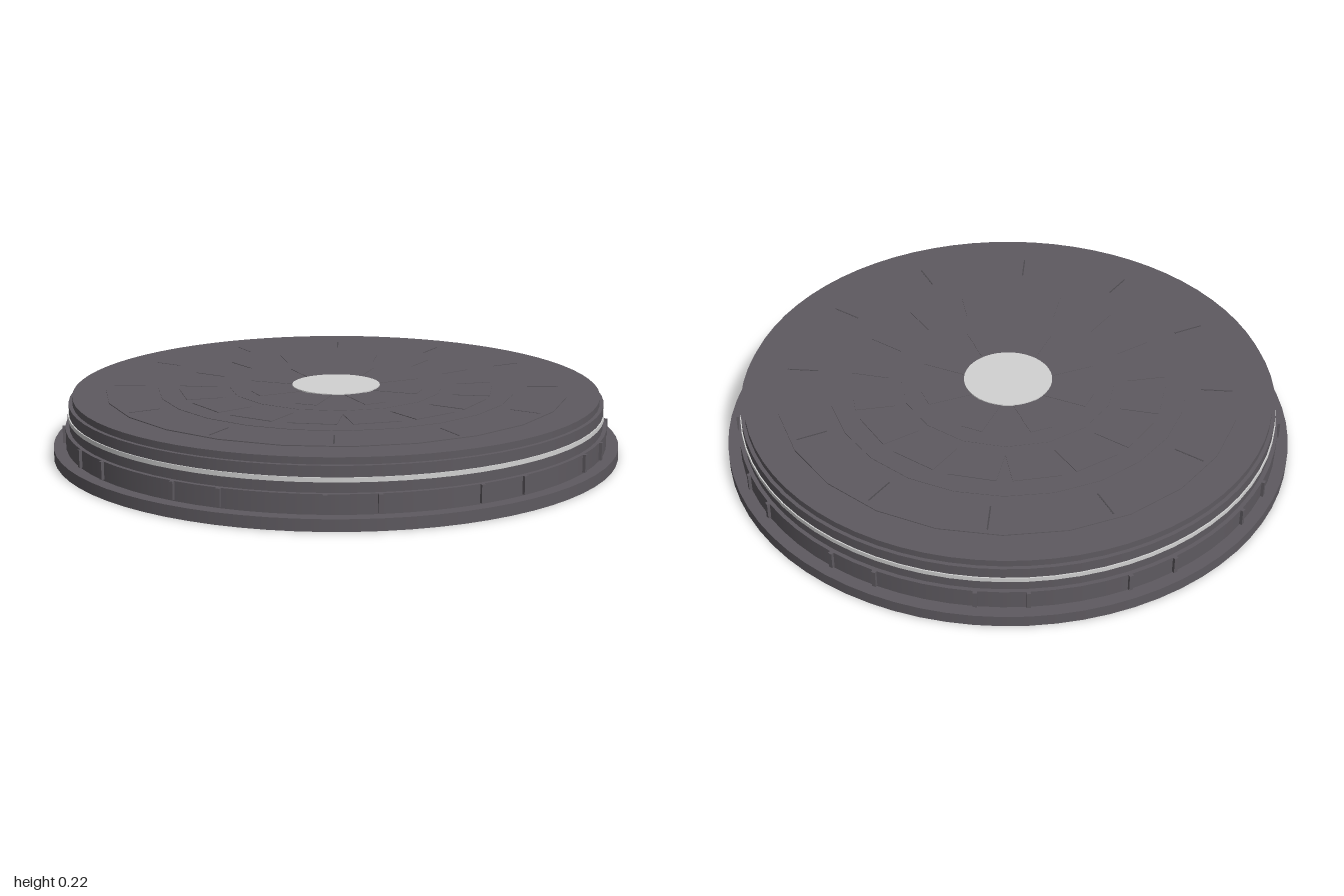
import * as THREE from 'three';

const metal = new THREE.MeshStandardMaterial({ name: 'darkMetal', color: 0x5e5a60 });
const seam = new THREE.MeshStandardMaterial({ name: 'seamMetal', color: 0x4c494e });
const light = new THREE.MeshStandardMaterial({ name: 'paleLight', color: 0xd2d2d2 });

export function createModel() {
  const root = new THREE.Group();
  root.name = 'roundPlatform';

  const add = (name, geometry, material, parent = root) => {
    const mesh = new THREE.Mesh(geometry, material);
    mesh.name = name;
    parent.add(mesh);
    return mesh;
  };
  const disc = (name, radius, y0, y1, sides = 72, material = metal) => {
    const mesh = add(name, new THREE.CylinderGeometry(radius, radius, y1 - y0, sides), material);
    mesh.position.y = (y0 + y1) / 2;
    return mesh;
  };
  // Box placed at an angle around the vertical axis
  const radialBox = (name, parent, angle, r0, r1, width, y0, y1, material = metal) => {
    const mesh = add(name, new THREE.BoxGeometry(width, y1 - y0, r1 - r0), material, parent);
    const r = (r0 + r1) / 2;
    mesh.position.set(Math.sin(angle) * r, (y0 + y1) / 2, Math.cos(angle) * r);
    mesh.rotation.y = angle;
  };
  const group = (name) => {
    const g = new THREE.Group();
    g.name = name;
    root.add(g);
    return g;
  };

  // Stepped body
  disc('baseFlange', 1, 0, 0.04);
  disc('lowerWall', 0.957, 0.04, 0.105);
  disc('upperWall', 0.943, 0.105, 0.19);
  disc('topRim', 0.93, 0.19, 0.213);

  // Light band around the wall
  disc('lightBand', 0.947, 0.139, 0.154, 72, light);

  // Raised ribs dividing the lower wall into panels
  const ribs = group('wallRibs');
  for (let quarter = 0; quarter < 4; quarter++) {
    for (const degrees of [10, 20, 40, 50, 70, 80]) {
      const a = THREE.MathUtils.degToRad(degrees + quarter * 90);
      radialBox('wallRib', ribs, a, 0.945, 0.967, 0.014, 0.045, 0.105);
    }
  }

  // Shallow polygonal plates on the deck
  disc('outerDeckPlate', 0.815, 0.213, 0.216, 24);
  disc('middleDeckPlate', 0.63, 0.216, 0.2175, 24);
  disc('innerDeckPlate', 0.38, 0.2175, 0.2205, 16);

  // Fine radial joints in the outer deck plate
  const joints = group('deckJoints');
  for (let i = 0; i < 12; i++) {
    const a = (i * Math.PI) / 6 + 0.2;
    radialBox('deckJoint', joints, a, 0.68, 0.79, 0.005, 0.2155, 0.2165, seam);
  }

  // Ring of teeth and the spokes around the hub
  const teeth = group('deckTeeth');
  for (let i = 0; i < 16; i++) {
    radialBox('deckTooth', teeth, ((i + 0.5) * Math.PI) / 8, 0.35, 0.55, 0.164, 0.2165, 0.2195);
  }
  const spokes = group('hubSpokes');
  for (let i = 0; i < 8; i++) {
    radialBox('hubSpoke', spokes, ((i + 0.5) * Math.PI) / 4, 0.1, 0.31, 0.078, 0.219, 0.222);
  }

  // Pale central lamp
  disc('hubLamp', 0.156, 0.218, 0.225, 48, light);

  return root;
}
